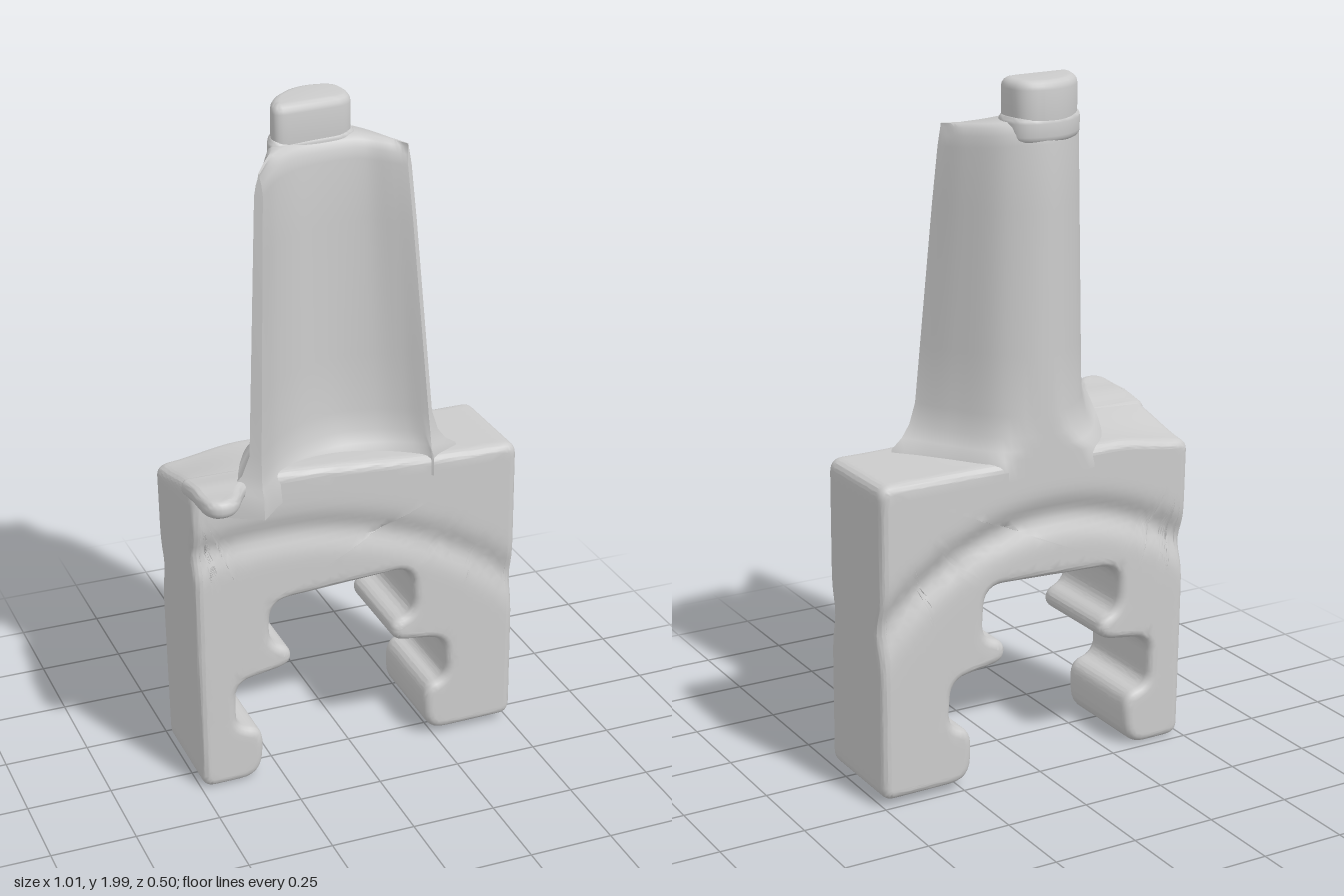
import * as THREE from 'three';
import { mergeVertices, toCreasedNormals } from 'three/addons/utils/BufferGeometryUtils.js';

const material = new THREE.MeshStandardMaterial({ color: 0xcccccc, side: THREE.DoubleSide });
const { smoothstep, lerp } = THREE.MathUtils;

// Closed outline from corners [x, y, radius], each corner rounded
function roundedShape(corners) {
  const shape = new THREE.Shape();
  const pts = corners.map(([x, y]) => new THREE.Vector2(x, y));
  const n = pts.length;
  pts.forEach((p, i) => {
    const r = corners[i][2];
    const toward = q => p.clone().add(q.clone().sub(p).setLength(Math.min(r, q.distanceTo(p) * 0.49)));
    const a = toward(pts[(i + n - 1) % n]), b = toward(pts[(i + 1) % n]);
    if (i === 0) shape.moveTo(a.x, a.y); else shape.lineTo(a.x, a.y);
    shape.quadraticCurveTo(p.x, p.y, b.x, b.y);
  });
  shape.closePath();
  return shape;
}

// Extrusion with rounded rims that stays inside its outline
function roundedExtrude(shape, depth, bevel) {
  return new THREE.ExtrudeGeometry(shape, {
    depth: depth - 2 * bevel, steps: 1, curveSegments: 6, bevelEnabled: true,
    bevelSize: bevel, bevelThickness: bevel, bevelOffset: -bevel, bevelSegments: 4,
  }).translate(0, 0, bevel);
}

// Split long edges so that a flat surface can be bent
function subdivide(geometry, maxEdge) {
  const src = geometry.attributes.position, out = [], stack = [];
  const point = i => new THREE.Vector3().fromBufferAttribute(src, i);
  for (let i = 0; i < src.count; i += 3) stack.push([point(i), point(i + 1), point(i + 2)]);
  while (stack.length) {
    const [a, b, c] = stack.pop();
    const ab = a.distanceTo(b), bc = b.distanceTo(c), ca = c.distanceTo(a);
    const longest = Math.max(ab, bc, ca);
    if (longest < maxEdge) { for (const p of [a, b, c]) out.push(p.x, p.y, p.z); continue; }
    const [p, q, r] = longest === ab ? [a, b, c] : longest === bc ? [b, c, a] : [c, a, b];
    const m = p.clone().add(q).multiplyScalar(0.5);
    stack.push([p, m, r], [m, q, r]);
  }
  const g = new THREE.BufferGeometry();
  g.setAttribute('position', new THREE.Float32BufferAttribute(out, 3));
  return g;
}

function bend(geometry, rule) {
  const pos = geometry.attributes.position, v = new THREE.Vector3();
  for (let i = 0; i < pos.count; i++) {
    rule(v.fromBufferAttribute(pos, i));
    pos.setXYZ(i, v.x, v.y, v.z);
  }
  return geometry;
}

// Forked root with hooked legs and an arched groove on both faces
function rootGeometry() {
  const outline = roundedShape([
    [-0.495, 0.01, 0.04], [-0.31, 0.01, 0.07], [-0.3, 0.17, 0.06], [-0.385, 0.19, 0.04],
    [-0.385, 0.34, 0.05], [-0.215, 0.365, 0.05], [-0.21, 0.42, 0.04], [-0.28, 0.45, 0.05],
    [-0.275, 0.585, 0.06], [0.17, 0.605, 0.06], [0.18, 0.45, 0.05], [0.105, 0.43, 0.04],
    [0.11, 0.37, 0.04], [0.28, 0.345, 0.05], [0.29, 0.205, 0.05], [0.215, 0.185, 0.06],
    [0.22, 0.03, 0.07], [0.505, 0.03, 0.04], [0.5, 0.95, 0.04], [-0.51, 0.95, 0.04],
  ]);
  const g = subdivide(roundedExtrude(outline, 0.33, 0.025).translate(0, 0, -0.24), 0.035);
  const groove = (x, y, cx, cy, r) => Math.exp(-(((Math.hypot(x - cx, y - cy) - r) / 0.045) ** 2));
  bend(g, v => {
    const side = (v.z + 0.075) / 0.165, { x, y } = v;
    const depth = side > 0
      ? 0.02 * groove(x, y, -0.27, -0.34, 1.138)
      : 0.028 * groove(x, y, -0.05, 0.04, 0.73);
    v.z -= side * depth + 0.02 * x;
    // The platform rises to the blade and drops at one rear corner
    const front = smoothstep(v.z, -0.24, 0.09);
    const rise = (1 - smoothstep(x, -0.3, 0.4)) * lerp(0.01, 0.04, front)
      - (1 - smoothstep(x, -0.5, -0.25)) * 0.03 * (1 - front);
    v.y += rise * smoothstep(y, 0.86, 0.94);
  });
  return toCreasedNormals(mergeVertices(g, 1e-4).toNonIndexed(), 0.7);
}

// Curved blade, lofted between a lower and an upper section
function bladeGeometry() {
  const curve = pts => new THREE.CatmullRomCurve3(pts.map(([x, z]) => new THREE.Vector3(x, 0, z)));
  const backLow = curve([[-0.35, 0.13], [-0.27, -0.02], [-0.17, -0.17], [-0.03, -0.245], [0.1, -0.2], [0.19, -0.07], [0.25, 0.05]]);
  const backTop = curve([[-0.32, 0.14], [-0.25, 0], [-0.16, -0.16], [-0.03, -0.24], [0.08, -0.2], [0.15, -0.1], [0.185, -0.01]]);
  const frontLow = curve([[-0.32, 0.15], [-0.23, 0.05], [-0.13, -0.02], [-0.02, -0.05], [0.1, -0.03], [0.18, 0.01], [0.235, 0.06]]);
  const frontTop = curve([[-0.3, 0.15], [-0.22, 0.04], [-0.13, -0.03], [-0.02, -0.055], [0.07, -0.05], [0.13, -0.02], [0.17, 0]]);
  // Heights, each with the amount the section swells or shrinks
  const rings = [[0.9, 0.05], [0.96, 0.045], [0.985, 0.025], [1.02, 0.01], [1.08, 0], [1.25, 0], [1.45, 0],
    [1.65, 0], [1.83, 0], [1.86, -0.004], [1.88, -0.014], [1.89, -0.03]];
  const N = 40, M = 2 * N, pos = [], index = [];
  for (const [y, grow] of rings) {
    const t = Math.max(0, (y - 0.95) / 0.94), back = [], front = [];
    for (let i = 0; i < N; i++) {
      const u = i / (N - 1);
      const o = backLow.getPoint(u).lerp(backTop.getPoint(u), t);
      const n = frontLow.getPoint(u).lerp(frontTop.getPoint(u), t);
      const dir = o.clone().sub(n), half = dir.length() / 2;
      dir.setLength(Math.max(grow, -half * 0.8));
      o.add(dir); n.sub(dir);
      for (const p of [o, n]) {
        p.x *= 1 + Math.max(0, grow) * 3;
        p.z = Math.max(p.z, -0.242);
        p.y = y - (y > 1.8 ? Math.max(0, p.x - 0.05) * 0.15 : 0);
      }
      back.push(o); front.unshift(n);
    }
    for (const p of [...back, ...front]) pos.push(p.x, p.y, p.z);
  }
  for (let r = 0; r < rings.length - 1; r++) {
    for (let i = 0; i < M; i++) {
      const a = r * M + i, b = r * M + (i + 1) % M;
      index.push(a, a + M, b + M, a, b + M, b);
    }
  }
  // Top face
  const base = (rings.length - 1) * M;
  for (let i = 0; i < N - 1; i++) {
    const o = base + i, n = base + M - 1 - i;
    index.push(o, n, n - 1, o, n - 1, o + 1);
  }
  const g = new THREE.BufferGeometry();
  g.setAttribute('position', new THREE.Float32BufferAttribute(pos, 3));
  g.setIndex(index);
  return toCreasedNormals(g.toNonIndexed(), 0.9);
}

// Flat outline given in x and z, raised between two heights
function slabGeometry(corners, bottom, top, bevel) {
  const g = roundedExtrude(roundedShape(corners.map(([x, z, r]) => [x, -z, r])), top - bottom, bevel);
  return g.rotateX(-Math.PI / 2).translate(0, bottom, 0);
}

export function createModel() {
  const model = new THREE.Group();
  const add = (name, geometry) => {
    const mesh = new THREE.Mesh(geometry, material);
    mesh.name = name;
    model.add(mesh);
  };
  add('forkedRoot', rootGeometry());
  add('blade', bladeGeometry());

  // Tongue reaching forward from the platform, curling up at its tip
  const tongue = subdivide(slabGeometry([
    [-0.51, 0, 0.03], [-0.51, 0.25, 0.06], [-0.43, 0.26, 0.05], [-0.36, 0.13, 0.04], [-0.27, 0.09, 0.03], [-0.27, 0, 0.03],
  ], 0.955, 1.005, 0.02), 0.05);
  bend(tongue, v => {
    v.y += 0.008 * smoothstep(v.z, 0.15, 0.25) - 0.02 * (1 - smoothstep(v.z, 0, 0.13));
  });
  add('platformTongue', toCreasedNormals(mergeVertices(tongue, 1e-4).toNonIndexed(), 0.9));

  // Stub on the blade tip, with a low wider step blending into the blade
  const stub = [
    [-0.2, -0.05, 0.05], [0.04, -0.08, 0.05], [0.065, -0.15, 0.06], [0.05, -0.235, 0.07],
    [-0.07, -0.245, 0.08], [-0.17, -0.16, 0.06],
  ];
  add('tipStub', toCreasedNormals(slabGeometry(stub, 1.84, 2, 0.025), 0.9));
  const step = stub.map(([x, z, r]) => [-0.06 + (x + 0.06) * 1.08, -0.15 + (z + 0.15) * 1.02, r]);
  add('tipStep', toCreasedNormals(slabGeometry(step, 1.83, 1.905, 0.02), 0.9));
  return model;
}
